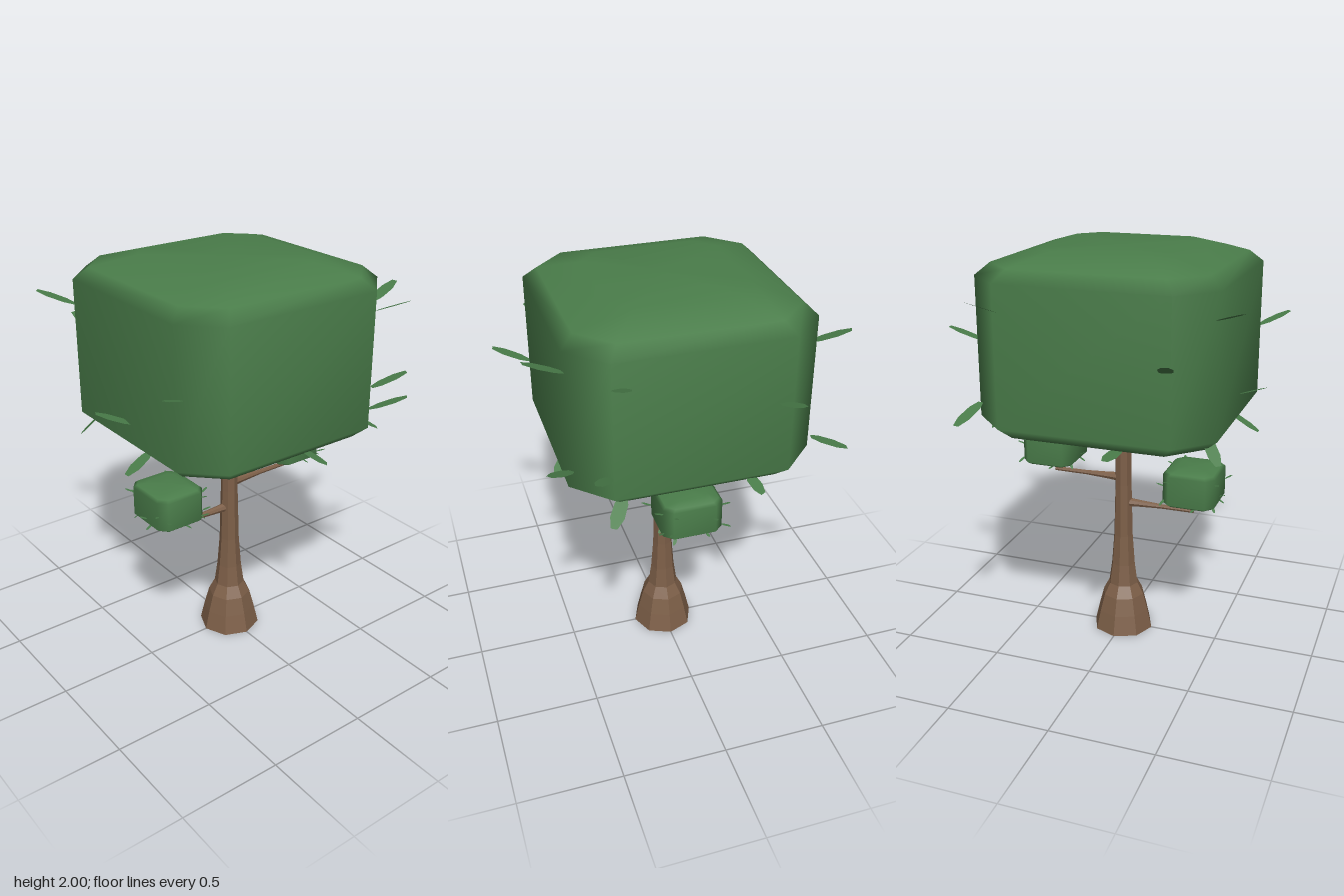
import * as THREE from 'three';

const green = new THREE.MeshStandardMaterial({ color: 0x4a7d4a, side: THREE.DoubleSide });
const brown = new THREE.MeshStandardMaterial({ color: 0x7d5f48, flatShading: true });

function add(parent, name, geometry, material) {
  const mesh = new THREE.Mesh(geometry, material);
  mesh.name = name;
  parent.add(mesh);
  return mesh;
}

// Bevelled box: octagonal rings [y, half width], smooth normals
function crownGeometry() {
  const rings = [[-0.44, 0.33], [-0.385, 0.51], [-0.33, 0.57], [0.33, 0.57], [0.385, 0.51], [0.44, 0.33]];
  const corners = [[1, 0.71], [0.71, 1], [-0.71, 1], [-1, 0.71], [-1, -0.71], [-0.71, -1], [0.71, -1], [1, -0.71]];
  const pos = [], index = [];
  for (const [y, h] of rings) for (const [x, z] of corners) pos.push(x * h, y, z * h);
  const bottom = pos.length / 3, top = bottom + 1, last = (rings.length - 1) * 8;
  pos.push(0, -0.44, 0, 0, 0.44, 0);
  for (let i = 0; i < 8; i++) {
    const j = (i + 1) % 8;
    for (let r = 0; r < last; r += 8) {
      index.push(r + i, r + 8 + i, r + j, r + j, r + 8 + i, r + 8 + j);
    }
    index.push(bottom, i, j, top, last + j, last + i);
  }
  const g = new THREE.BufferGeometry();
  g.setAttribute('position', new THREE.Float32BufferAttribute(pos, 3));
  g.setIndex(index);
  g.computeVertexNormals();
  return g;
}

// Flat blunt-ended leaf, one unit long on +y
function leafGeometry() {
  const half = [[0.014, 0], [0.031, 0.25], [0.033, 0.68], [0.015, 1]];
  const outline = [...half, ...half.map(([x, y]) => [-x, y]).reverse()];
  return new THREE.ShapeGeometry(new THREE.Shape(outline.map(p => new THREE.Vector2(...p))));
}

// Leaves as [root, tip] in x, y, z
const leaves = [
  [[-0.39, 1.56, -0.57], [-0.43, 1.63, -0.72]],
  [[-0.15, 1.17, -0.48], [-0.14, 1.165, -0.64]],
  [[0.37, 1.76, -0.57], [0.45, 1.83, -0.72]],
  [[0.49, 1.34, -0.55], [0.53, 1.275, -0.72]],
  [[-0.57, 1.77, -0.43], [-0.70, 1.83, -0.55]],
  [[0.55, 1.58, -0.37], [0.71, 1.64, -0.40]],
  [[-0.56, 1.32, 0.02], [-0.71, 1.385, -0.05]],
  [[-0.52, 1.20, 0.10], [-0.655, 1.12, 0.10]],
  [[0.55, 1.77, 0.37], [0.71, 1.84, 0.36]],
  [[0.55, 1.35, 0.41], [0.70, 1.42, 0.49]],
  [[-0.57, 1.57, 0.41], [-0.70, 1.63, 0.51]],
  [[-0.44, 1.44, 0.55], [-0.49, 1.51, 0.72]],
  [[0.40, 1.80, 0.55], [0.43, 1.88, 0.72]],
  [[0.41, 1.32, 0.54], [0.53, 1.39, 0.66]],
  [[0.49, 1.20, 0.33], [0.61, 1.12, 0.41]],
  [[0.05, 1.19, 0.48], [0.14, 1.12, 0.56]],
  [[0.49, 1.20, -0.25], [0.57, 1.13, -0.30]],
  [[-0.51, 1.23, -0.35], [-0.59, 1.12, -0.42]]
];

function makeCrown(name, crownGeo, leafGeo) {
  const crown = new THREE.Group();
  crown.name = name;
  add(crown, 'foliage', crownGeo, green);
  for (const [a, b] of leaves) {
    const root = new THREE.Vector3(a[0] + 0.01, a[1] - 1.56, a[2] + 0.015);
    const dir = new THREE.Vector3(b[0] + 0.01, b[1] - 1.56, b[2] + 0.015).sub(root);
    const length = dir.length();
    dir.normalize();
    // The blade lies level across its width
    const across = new THREE.Vector3(dir.z, 0, -dir.x).normalize();
    const normal = new THREE.Vector3().crossVectors(across, dir);
    const leaf = add(crown, 'leaf', leafGeo, green);
    leaf.quaternion.setFromRotationMatrix(new THREE.Matrix4().makeBasis(across, dir, normal));
    leaf.scale.y = length;
    leaf.position.copy(root);
  }
  return crown;
}

// Level arm leaving the trunk, with an upright end that carries a small crown
function makeBranch(side, y) {
  const branch = new THREE.Group();
  branch.name = side > 0 ? 'leftBranch' : 'rightBranch';
  const profile = [[0.026, 0], [0.019, 0.08], [0.012, 0.2], [0.011, 0.37], [0, 0.37]];
  const arm = add(branch, 'branchArm', new THREE.LatheGeometry(profile.map(p => new THREE.Vector2(...p)), 8), brown);
  arm.rotation.z = -side * Math.PI / 2;
  arm.position.y = y;
  const stem = add(branch, 'branchStem', new THREE.CylinderGeometry(0.01, 0.01, 0.1, 8), brown);
  stem.position.set(side * 0.358, y + 0.045, 0);
  return branch;
}

export function createModel() {
  const tree = new THREE.Group();
  tree.name = 'tree';

  // Eight-sided trunk with a flared foot
  const profile = [[0, 0], [0.155, 0], [0.132, 0.1], [0.108, 0.19], [0.077, 0.25], [0.062, 0.36], [0.05, 0.52], [0.043, 0.8], [0.041, 1.2]];
  add(tree, 'trunk', new THREE.LatheGeometry(profile.map(p => new THREE.Vector2(...p)), 8), brown);
  tree.add(makeBranch(-1, 0.70), makeBranch(1, 0.832));

  // One large crown and two small ones
  const crownGeo = crownGeometry(), leafGeo = leafGeometry();
  const main = makeCrown('mainCrown', crownGeo, leafGeo);
  main.position.set(-0.01, 1.56, -0.015);
  tree.add(main);
  for (const [name, x, y] of [['rightCrown', -0.37, 0.849], ['leftCrown', 0.366, 0.979]]) {
    const crown = makeCrown(name, crownGeo, leafGeo);
    crown.position.set(x, y, -0.003);
    crown.scale.set(0.228, 0.22, 0.253);
    tree.add(crown);
  }
  return tree;
}
